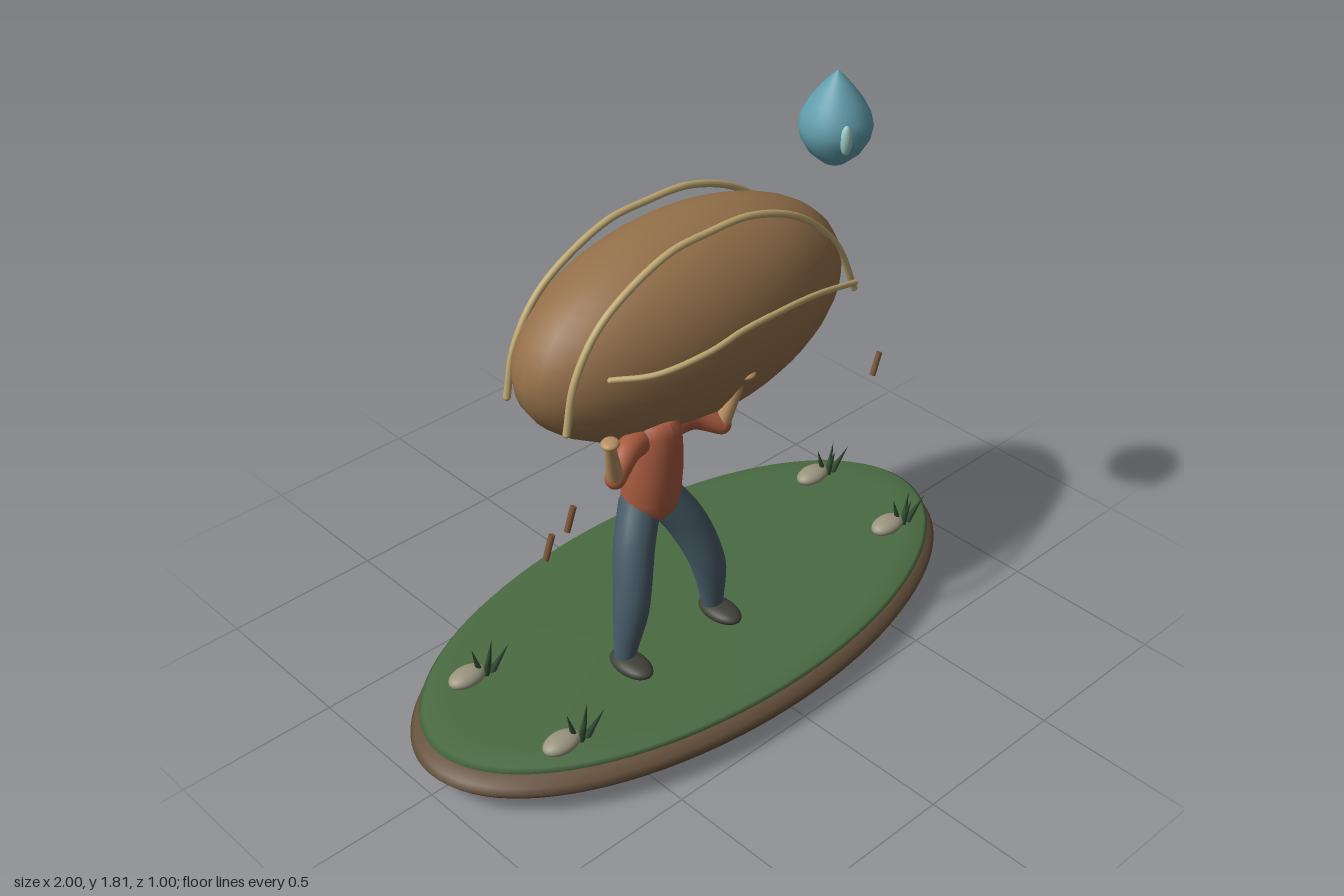
import * as THREE from 'three';

const mat = (color, side = THREE.FrontSide) => new THREE.MeshStandardMaterial({ color, side });
const M = {
  earth: mat(0x66513c), grass: mat(0x4a6b42), sack: mat(0x94704a), rope: mat(0xbda670),
  water: mat(0x629ead), shine: mat(0x9cc8c4), shirt: mat(0xa85b40), trousers: mat(0x465a66),
  skin: mat(0xb98f62), shoe: mat(0x3f4038), rock: mat(0x9a9580), blade: mat(0x2f4a30), chip: mat(0x7a5638),
};
const V = (p) => new THREE.Vector3(...p);

function add(parent, name, geometry, material, position = [0, 0, 0], scale = [1, 1, 1]) {
  const mesh = new THREE.Mesh(geometry, material);
  mesh.name = name;
  mesh.position.set(...position);
  mesh.scale.set(...scale);
  parent.add(mesh);
  return mesh;
}

const ball = (parent, name, material, position, radii) =>
  add(parent, name, new THREE.SphereGeometry(1, 32, 24), material, position, radii);

const lathe = (points, segments = 64) =>
  new THREE.LatheGeometry(points.map(([x, y]) => new THREE.Vector2(x, y)), segments);

// Tube through points, its radius interpolated along the list, with rounded ends
function limb(parent, name, points, radii, material, steps = 24, sides = 16) {
  const curve = new THREE.CatmullRomCurve3(points.map(V));
  const g = new THREE.TubeGeometry(curve, steps, 1, sides);
  const pos = g.attributes.position;
  const v = new THREE.Vector3();
  for (let i = 0; i <= steps; i++) {
    const t = i / steps, c = curve.getPointAt(t);
    const f = t * (radii.length - 1), k = Math.min(Math.floor(f), radii.length - 2);
    const r = THREE.MathUtils.lerp(radii[k], radii[k + 1], f - k);
    for (let j = 0; j <= sides; j++) {
      const n = i * (sides + 1) + j;
      v.fromBufferAttribute(pos, n).sub(c).multiplyScalar(r).add(c);
      pos.setXYZ(n, v.x, v.y, v.z);
    }
  }
  const group = new THREE.Group();
  group.name = name;
  add(group, name + 'Tube', g, material);
  [[points[0], radii[0]], [points.at(-1), radii.at(-1)]].forEach(([p, r]) =>
    add(group, name + 'End', new THREE.SphereGeometry(r, 16, 12), material, p));
  parent.add(group);
}

export function createModel() {
  const model = new THREE.Group();
  model.name = 'manCarryingSack';

  // Oval ground: rounded earth with a thin turf layer
  add(model, 'earth', lathe([[0, 0], [0.4, 0.006], [0.75, 0.02], [0.94, 0.045], [0.985, 0.062], [1, 0.08],
    [0.985, 0.098], [0.95, 0.115], [0.88, 0.128], [0, 0.13]], 96), M.earth, [0, 0, 0], [1, 1, 0.5]);
  add(model, 'turf', lathe([[0, 0.12], [0.9, 0.124], [0.95, 0.131], [0.967, 0.14], [0.95, 0.151],
    [0.85, 0.16], [0, 0.166]], 96), M.grass, [0, 0, 0], [1, 1, 0.5]);

  // Sack with two ropes over the top and a seam on the front
  ball(model, 'sack', M.sack, [0.06, 1.11, -0.085], [0.595, 0.317, 0.275]);
  const arch = [[-0.495, 1.02], [-0.46, 1.17], [-0.36, 1.31], [-0.13, 1.425], [0.03, 1.437], [0.2, 1.427],
    [0.4, 1.345], [0.56, 1.19], [0.64, 1.02]];
  for (const z of [0.047, -0.205])
    limb(model, 'rope', arch.map(([x, y]) => [x, y, z]), [0.011, 0.011], M.rope, 64, 10);
  limb(model, 'seam', [[-0.38, 1.165, 0.1], [-0.29, 1.18, 0.18], [-0.14, 1.205, 0.225], [0, 1.213, 0.217],
    [0.15, 1.2, 0.2], [0.35, 1.16, 0.16], [0.56, 1.1, 0.12]], [0.009, 0.009], M.rope, 64, 10);

  // Torso, leaning slightly forward
  const torso = lathe([[0, 0.578], [0.03, 0.585], [0.058, 0.61], [0.08, 0.645], [0.087, 0.69], [0.086, 0.78],
    [0.079, 0.86], [0.071, 0.92], [0.058, 0.95], [0.04, 0.96], [0, 0.963]], 32);
  const tp = torso.attributes.position;
  for (let i = 0; i < tp.count; i++) tp.setZ(i, tp.getZ(i) + 0.12 * (tp.getY(i) - 0.75));
  torso.computeVertexNormals();
  add(model, 'torso', torso, M.shirt, [-0.198, 0, 0.06]);

  // Legs and shoes
  const legs = [
    ['rightLeg', [[-0.235, 0.655, 0.045], [-0.295, 0.55, 0.085], [-0.338, 0.4, 0.12], [-0.362, 0.2, 0.11]]],
    ['leftLeg', [[-0.155, 0.655, 0.045], [-0.093, 0.55, 0.085], [-0.04, 0.4, 0.12], [-0.002, 0.2, 0.11]]],
  ];
  for (const [name, path] of legs) {
    limb(model, name, path, [0.062, 0.06, 0.052, 0.031], M.trousers, 32, 20);
    ball(model, 'shoe', M.shoe, [path[3][0], 0.193, 0.14], [0.047, 0.025, 0.08]);
  }

  // Arms: sleeve, bare forearm and hand
  const arms = [
    ['right', [-0.255, 0.905, 0.075], [-0.32, 0.905, 0.095], [-0.385, 0.855, 0.115], [-0.43, 1.0, 0.15], [-0.435, 1.015, 0.155]],
    ['left', [-0.14, 0.905, 0.075], [-0.06, 0.895, 0.085], [0.01, 0.857, 0.125], [0.055, 1.0, 0.155], [0.075, 1.015, 0.16]],
  ];
  for (const [side, shoulder, mid, elbow, wrist, hand] of arms) {
    limb(model, side + 'Sleeve', [shoulder, mid, elbow], [0.042, 0.037, 0.03], M.shirt);
    limb(model, side + 'Forearm', [elbow, wrist], [0.026, 0.015], M.skin);
    ball(model, side + 'Hand', M.skin, hand, [0.03, 0.013, 0.026]).rotation.y = 0.6;
  }

  // Sweat drop with a highlight
  add(model, 'drop', lathe([[0, 1.523], [0.035, 1.54], [0.075, 1.575], [0.098, 1.615], [0.105, 1.65], [0.097, 1.685],
    [0.075, 1.725], [0.045, 1.765], [0.018, 1.795], [0, 1.812]], 40), M.water, [0.445, 0, 0.12]);
  ball(model, 'dropHighlight', M.shine, [0.396, 1.645, 0.205], [0.018, 0.044, 0.016]);

  // Falling chips
  for (const [x, y] of [[-0.677, 0.808], [-0.6, 0.862], [0.61, 0.822]])
    add(model, 'chip', new THREE.CylinderGeometry(0.009, 0.009, 0.075, 8), M.chip, [x, y, 0.177]).rotation.z = -0.35;

  // Stones, each with a tuft of grass
  for (const [x, z] of [[-0.71, 0.235], [-0.73, -0.165], [0.705, 0.185], [0.73, -0.17]]) {
    ball(model, 'stone', M.rock, [x, 0.172, z], [0.062, 0.026, 0.04]);
    const tuft = new THREE.Group();
    tuft.name = 'grassTuft';
    tuft.position.set(x + 0.06, 0.16, z + 0.01);
    [-0.2, 0.05, 0.3, 0.5].forEach((tilt, i) => {
      const g = new THREE.ConeGeometry(0.013, 0.105, 6).translate(0, 0.05, 0);
      const blade = add(tuft, 'blade', g, M.blade, [(i - 1.5) * 0.012, 0, (i % 2) * 0.008]);
      blade.rotation.set(i % 2 ? 0.25 : -0.1, 0, -tilt);
    });
    model.add(tuft);
  }
  return model;
}
